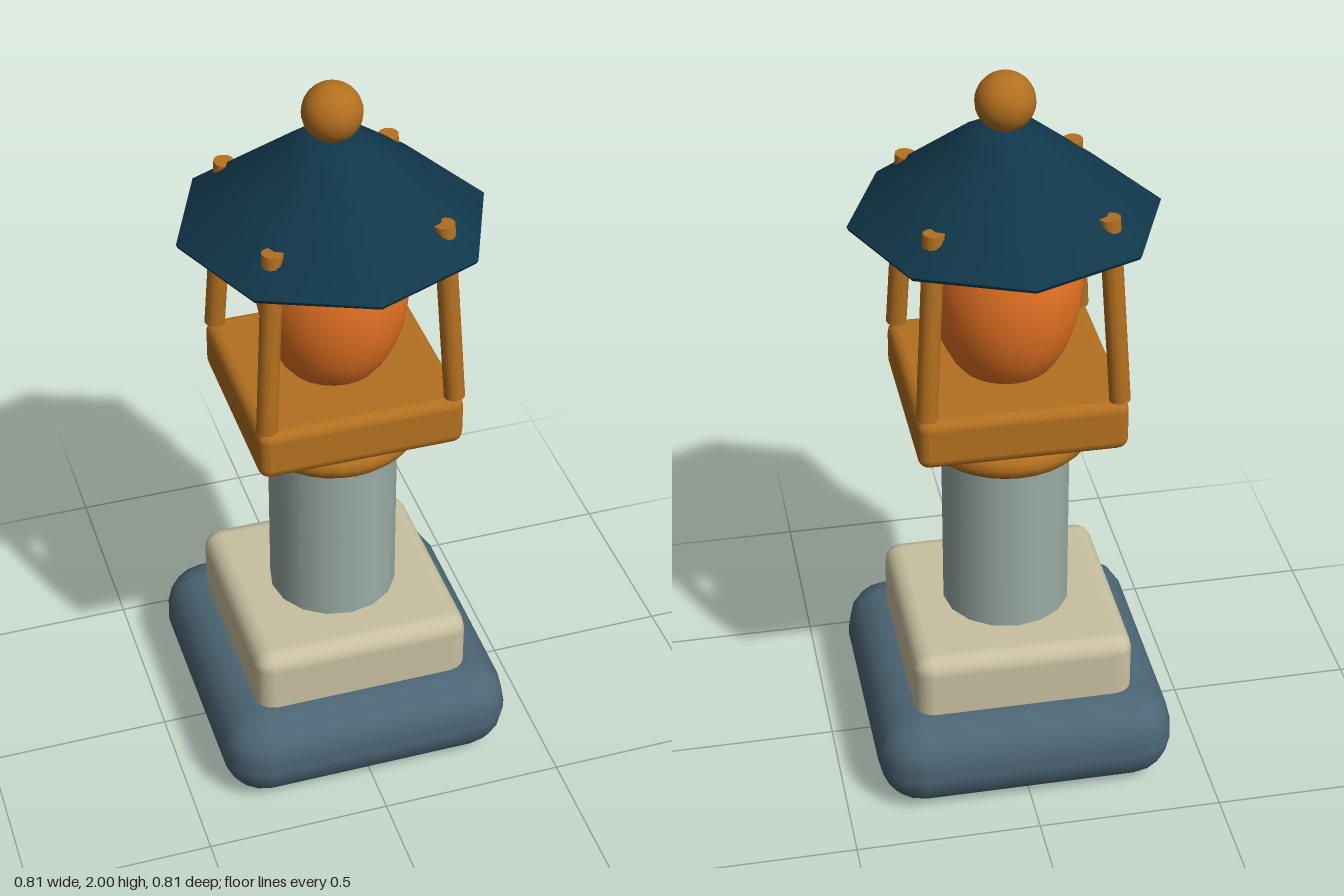
import * as THREE from 'three';
import { RoundedBoxGeometry } from 'three/addons/geometries/RoundedBoxGeometry.js';

const material = (name, color) => {
  const m = new THREE.MeshStandardMaterial({ color });
  m.name = name;
  return m;
};

export function createModel() {
  const slate = material('slate blue', 0x4c6675);
  const cream = material('cream stone', 0xc9c0a0);
  const sage = material('sage grey', 0x9aaca4);
  const bronze = material('bronze', 0xb3701f);
  const amber = material('amber glow', 0xe87424);
  const navy = material('deep teal', 0x10374a);

  const group = new THREE.Group();
  group.name = 'stoneLantern';

  const add = (name, geometry, mat, y = 0, parent = group) => {
    const mesh = new THREE.Mesh(geometry, mat);
    mesh.name = name;
    mesh.position.y = y;
    parent.add(mesh);
    return mesh;
  };
  // Square rounded slab between two heights
  const slab = (name, width, y0, y1, radius, mat) =>
    add(name, new RoundedBoxGeometry(width, y1 - y0, width, 2, radius), mat, (y0 + y1) / 2);
  const lathe = (points, sides) =>
    new THREE.LatheGeometry(points.map(([r, y]) => new THREE.Vector2(r, y)), sides);

  // Stepped foot
  slab('base', 0.815, 0, 0.265, 0.12, slate);
  slab('plinth', 0.6, 0.2, 0.435, 0.05, cream);

  // Column with a softened top, and its collar
  add('column', new THREE.CylinderGeometry(0.174, 0.174, 0.6, 16, 1, true), sage, 0.72);
  add('columnTop', lathe([[0.174, 1.02], [0.155, 1.033], [0, 1.04]], 16), sage);
  const collar = add('collar', new THREE.TorusGeometry(0.19, 0.04, 12, 32), bronze, 0.977);
  collar.rotation.x = Math.PI / 2;

  // Lamp tray and glowing globe
  slab('tray', 0.55, 1.035, 1.178, 0.03, bronze);
  const globe = add('globe', new THREE.SphereGeometry(0.2, 24, 16), amber, 1.422);
  globe.scale.y = 1.55;

  // Four posts leaning inward, their tips poking through the roof
  const posts = new THREE.Group();
  posts.name = 'posts';
  group.add(posts);
  const up = new THREE.Vector3(0, 1, 0);
  for (const sx of [-1, 1]) {
    for (const sz of [-1, 1]) {
      const foot = new THREE.Vector3(sx * 0.25, 1.18, sz * 0.25);
      const tip = new THREE.Vector3(sx * 0.219, 1.692, sz * 0.219);
      const axis = tip.clone().sub(foot);
      const post = add('post', new THREE.CylinderGeometry(0.028, 0.028, axis.length(), 12), bronze, 0, posts);
      post.position.copy(foot).add(tip).multiplyScalar(0.5);
      post.quaternion.setFromUnitVectors(up, axis.normalize());
    }
  }

  // Eight-sided roof with a thin rim and flat underside
  const roof = new THREE.Group();
  roof.name = 'roof';
  group.add(roof);
  add('roofTop', lathe([[0.405, 1.612], [0.25, 1.73], [0.11, 1.836], [0.08, 1.852], [0.045, 1.862], [0, 1.864]], 8), navy, 0, roof);
  add('roofRim', new THREE.CylinderGeometry(0.405, 0.4, 0.01, 8, 1, true), navy, 1.607, roof);
  const underside = add('roofUnderside', new THREE.CircleGeometry(0.4, 8), navy, 1.602, roof);
  underside.rotation.x = Math.PI / 2;

  // Ball on top
  add('finial', new THREE.SphereGeometry(0.077, 24, 16), bronze, 1.923);

  return group;
}
